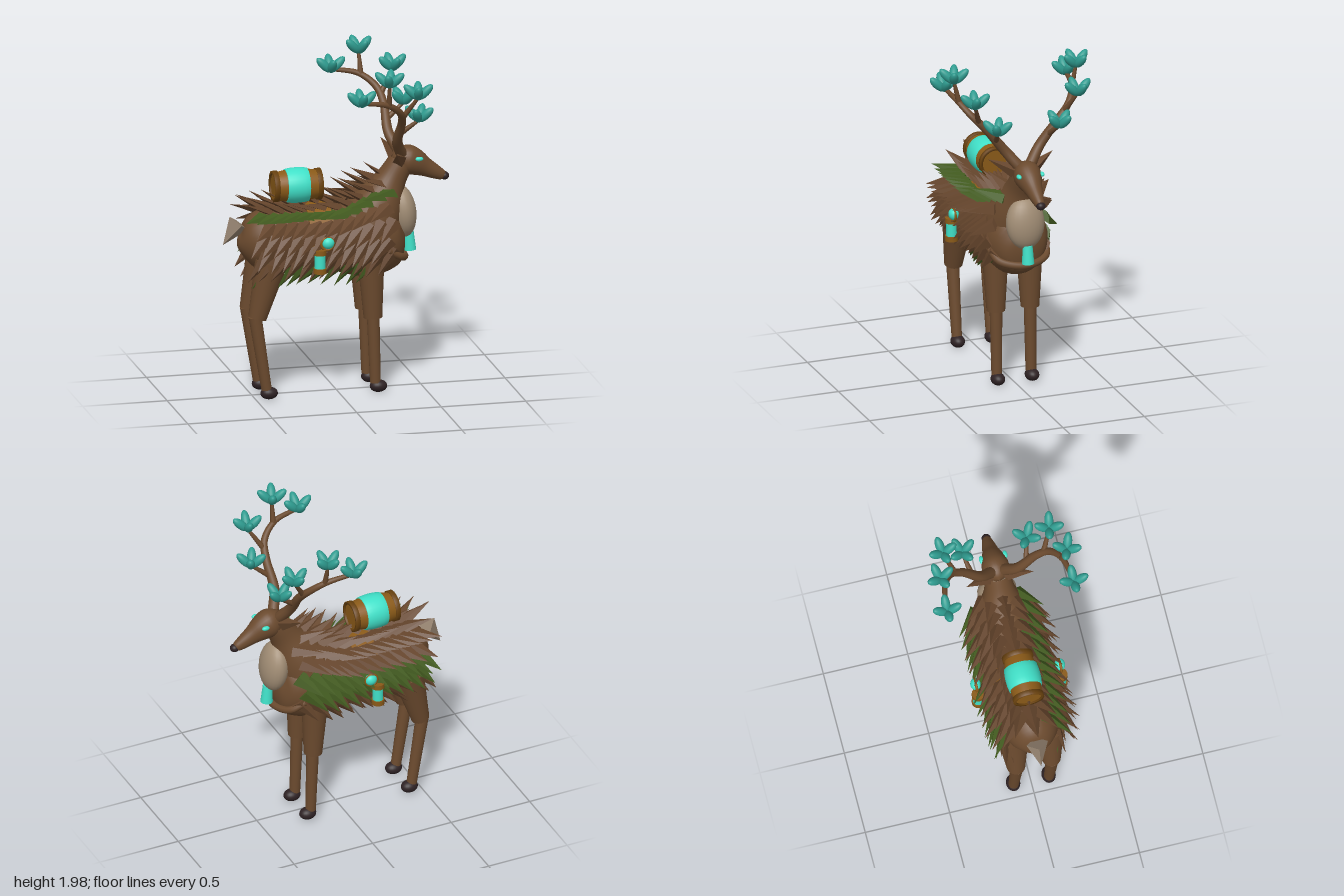
import * as THREE from 'three';
import { mergeGeometries } from 'three/addons/utils/BufferGeometryUtils.js';

const V = (x, y, z = 0) => new THREE.Vector3(x, y, z);

export function createModel() {
  const model = new THREE.Group();
  const mat = (name, color, extra = {}) =>
    Object.assign(new THREE.MeshStandardMaterial({ color, ...extra }), { name });
  const hide = mat('brown hide', 0x6b4a2e);
  const bark = mat('bark scale', 0x65452c, { flatShading: true });
  const moss = mat('moss green', 0x435c20, { flatShading: true });
  const leaf = mat('teal leaf', 0x2f9c90);
  const glow = mat('bright turquoise', 0x40e0c8);
  const wood = mat('amber wood', 0x8a5a18);
  const hoop = mat('dark wood', 0x6b430f);
  const dark = mat('hoof black', 0x2e2224);
  const cream = mat('pale fur', 0xa08c74);
  const tuft = mat('tail fur', 0x958370, { flatShading: true });

  const add = (name, geo, material, pos = V(0, 0)) => {
    const m = new THREE.Mesh(geo, material);
    m.name = name;
    m.position.copy(pos);
    model.add(m);
    return m;
  };
  const ball = (name, material, pos, rx, ry, rz) => {
    const m = add(name, new THREE.SphereGeometry(1, 24, 16), material, pos);
    m.scale.set(rx, ry, rz);
    return m;
  };
  // Tapered cylinder between two points
  const rod = (name, material, a, b, ra, rb, sides = 20) => {
    const d = b.clone().sub(a);
    const m = add(name, new THREE.CylinderGeometry(rb, ra, d.length(), sides), material, a.clone().lerp(b, 0.5));
    m.quaternion.setFromUnitVectors(V(0, 1), d.normalize());
    return m;
  };
  // Smooth body through [x, y, radius] stations, k = width / height
  const loft = (name, material, stations, k = 1, steps = 28, sides = 28) => {
    const curve = new THREE.CatmullRomCurve3(stations.map(s => V(...s)));
    const pos = [], idx = [];
    for (let i = 0; i <= steps; i++) {
      const p = curve.getPoint(i / steps), t = curve.getTangent(i / steps).setZ(0).normalize();
      const r = Math.max(p.z, 0.001);
      for (let j = 0; j < sides; j++) {
        const a = j / sides * Math.PI * 2, c = Math.cos(a) * r;
        pos.push(p.x - t.y * c, p.y + t.x * c, Math.sin(a) * r * k);
        if (i === steps) continue;
        const q = i * sides + j, n = i * sides + (j + 1) % sides;
        idx.push(q, n, q + sides, n, n + sides, q + sides);
      }
    }
    const g = new THREE.BufferGeometry();
    g.setAttribute('position', new THREE.Float32BufferAttribute(pos, 3));
    g.setIndex(idx);
    g.computeVertexNormals();
    return add(name, g, material);
  };
  // Tube that narrows from r0 to r1
  const branch = (name, points, r0, r1, seg = 24) => {
    const curve = new THREE.CatmullRomCurve3(points), sides = 10;
    const g = new THREE.TubeGeometry(curve, seg, r0, sides), p = g.attributes.position, v = V(0, 0);
    for (let i = 0; i < p.count; i++) {
      const t = Math.floor(i / (sides + 1)) / seg, c = curve.getPointAt(t);
      v.fromBufferAttribute(p, i).sub(c).multiplyScalar(1 + (r1 / r0 - 1) * t).add(c);
      p.setXYZ(i, v.x, v.y, v.z);
    }
    return add(name, g, hide);
  };

  // Trunk, neck and head
  loft('body', hide, [[-0.58, 0.95, 0], [-0.56, 0.945, 0.08], [-0.5, 0.94, 0.15], [-0.4, 0.93, 0.195],
    [-0.22, 0.92, 0.2], [-0.02, 0.92, 0.2], [0.14, 0.9, 0.22], [0.25, 0.89, 0.215],
    [0.34, 0.88, 0.17], [0.385, 0.88, 0.1], [0.405, 0.88, 0]], 0.88, 44);
  loft('neck', hide, [[0.16, 0.93, 0.2], [0.25, 1.1, 0.15], [0.325, 1.24, 0.09], [0.385, 1.34, 0.075]]);
  loft('head', hide, [[0.33, 1.37, 0], [0.35, 1.367, 0.045], [0.41, 1.353, 0.085], [0.46, 1.333, 0.08],
    [0.53, 1.295, 0.055], [0.6, 1.257, 0.038], [0.635, 1.24, 0.025], [0.645, 1.235, 0]], 0.92);
  ball('nose', dark, V(0.642, 1.238), 0.026, 0.024, 0.027);
  ball('chestFur', cream, V(0.39, 1.045), 0.08, 0.155, 0.115).rotation.z = 0.12;
  const collar = new THREE.CatmullRomCurve3([V(0.27, 0.86, 0.17), V(0.35, 0.81, 0.14), V(0.4, 0.785, 0),
    V(0.35, 0.81, -0.14), V(0.27, 0.86, -0.17)]);
  add('collar', new THREE.TubeGeometry(collar, 32, 0.022, 10), hide);
  rod('chestLantern', glow, V(0.437, 0.81), V(0.43, 0.92), 0.036, 0.028);
  const tail = rod('tail', tuft, V(-0.575, 1.035), V(-0.67, 0.91), 0.07, 0, 4);
  tail.scale.z = 0.9;

  // Mirrored legs, face and antlers
  for (const s of [1, -1]) {
    const z = 0.105 * s;
    rod('frontUpperLeg', hide, V(0.18, 0.8, z), V(0.192, 0.45, z), 0.078, 0.054);
    rod('frontLowerLeg', hide, V(0.193, 0.48, z), V(0.207, 0.06, z), 0.037, 0.031);
    rod('rearUpperLeg', hide, V(-0.41, 0.82, z), V(-0.492, 0.49, z), 0.095, 0.053);
    rod('rearLowerLeg', hide, V(-0.505, 0.5, z), V(-0.437, 0.06, z), 0.038, 0.03);
    for (const x of [0.225, -0.422]) ball('hoof', dark, V(x, 0.038, z), 0.051, 0.036, 0.041);
    ball('eye', glow, V(0.475, 1.366, 0.07 * s), 0.024, 0.013, 0.014);
    rod('ear', bark, V(0.365, 1.36, 0.05 * s), V(0.31, 1.435, 0.2 * s), 0.045, 0, 4);

    branch('antlerBeam', [V(0.375, 1.4, 0.04 * s), V(0.335, 1.49, 0.11 * s), V(0.335, 1.63, 0.22 * s),
      V(0.31, 1.71, 0.295 * s), V(0.22, 1.78, 0.35 * s), V(0.06, 1.81, 0.375 * s)], 0.034, 0.012, 40);
    const tips = [
      [null, V(0.06, 1.8, 0.375 * s), 0],
      [V(0.23, 1.77, 0.345 * s), V(0.225, 1.905, 0.375 * s), 0.35],
      [V(0.325, 1.67, 0.26 * s), V(0.41, 1.805, 0.315 * s), 0.2],
      [V(0.335, 1.55, 0.16 * s), V(0.445, 1.635, 0.19 * s), 0.5]];
    for (const [from, tip, turn] of tips) {
      if (from) branch('antlerTine', [from, from.clone().lerp(tip, 0.5), tip], 0.018, 0.009, 8);
      for (let i = 0; i < 4; i++) {
        const a = s * turn + i * Math.PI / 2;
        const d = V(Math.cos(a) * 0.72, 0.72, Math.sin(a) * 0.72).normalize();
        const petal = ball('antlerLeaf', leaf, tip.clone().addScaledVector(d, 0.055).add(V(0, -0.005)), 0.026, 0.06, 0.026);
        petal.quaternion.setFromUnitVectors(V(0, 1), d);
      }
    }

    // Side lantern hanging from the strap
    const lz = 0.245 * s;
    rod('sideLanternGlass', glow, V(-0.155, 0.79, lz), V(-0.155, 0.9, lz), 0.031, 0.031);
    for (const y of [0.79, 0.9]) rod('sideLanternCap', wood, V(-0.155, y - 0.015, lz), V(-0.155, y + 0.015, lz), 0.038, 0.038);
    ball('sideOrb', glow, V(-0.108, 0.953, 0.25 * s), 0.036, 0.034, 0.03);
    add('orbRing', new THREE.TorusGeometry(0.036, 0.008, 8, 20), wood, V(-0.112, 0.948, 0.25 * s));
  }

  // Overlapping scale cloak, rows run around the back
  const cone = new THREE.ConeGeometry(0.052, 0.19, 4).translate(0, 0.08, 0).scale(1, 1, 0.45);
  const parts = { bark: [], moss: [] };
  const greenRows = [2, 7, -4, -5];
  for (let row = -7; row <= 7; row++) {
    const th = row * 18 * Math.PI / 180, c = Math.cos(th), sn = Math.sin(th), side = Math.sign(row);
    for (let col = 0; col < 12; col++) {
      const x = -0.45 + col * 0.068 + (row % 2 ? 0.034 : 0);
      if (x > 0.33) continue;
      const top = 0.2 + 0.13 * THREE.MathUtils.smoothstep(x, 0, 0.3);
      const w = 0.19 - 0.04 * THREE.MathUtils.smoothstep(-x, 0.35, 0.5) - 0.02 * THREE.MathUtils.smoothstep(x, 0.2, 0.33);
      const p = V(x, 0.92 + c * (c > 0 ? top : 0.2), sn * w);
      const n = V(0, c, sn);
      const jitter = 0.08 * Math.sin(col * 5.3 + row * 3.1);
      const dir = V(-0.75 + jitter, -side * sn * Math.abs(sn) * 0.85, side * c * Math.abs(sn) * 0.85)
        .addScaledVector(n, 0.42 + jitter).normalize();
      const xa = dir.clone().cross(n).normalize(), za = xa.clone().cross(dir);
      const m = new THREE.Matrix4().makeBasis(xa, dir, za).setPosition(p);
      const green = greenRows.includes(row) || (row === -7 && col > 9);
      parts[green ? 'moss' : 'bark'].push(cone.clone().applyMatrix4(m));
    }
  }
  add('barkScales', mergeGeometries(parts.bark), bark);
  add('mossScales', mergeGeometries(parts.moss), moss);

  // Saddle strap around the trunk
  const strap = new THREE.CylinderGeometry(0.215, 0.215, 0.14, 36).rotateZ(Math.PI / 2).scale(1, 1, 0.94);
  add('saddleStrap', strap, wood, V(-0.125, 0.922));

  // Barrel lying along the back
  const lathe = (name, material, pts) =>
    add(name, new THREE.LatheGeometry(pts.map(p => new THREE.Vector2(...p)), 32).rotateZ(-Math.PI / 2), material, V(-0.235, 1.24));
  lathe('barrel', wood, [[0, -0.132], [0.08, -0.132], [0.08, -0.132], [0.09, -0.07], [0.094, 0],
    [0.09, 0.07], [0.08, 0.132], [0.08, 0.132], [0, 0.132]]);
  lathe('barrelBand', glow, [[0.09, -0.066], [0.097, -0.064], [0.102, -0.03], [0.103, 0], [0.102, 0.03], [0.097, 0.064], [0.09, 0.066]]);
  for (const x of [-0.128, 0.128])
    lathe('barrelHoop', hoop, [[0.075, x - 0.014], [0.091, x - 0.014], [0.091, x + 0.014], [0.075, x + 0.014], [0.075, x - 0.014]]);

  return model;
}
